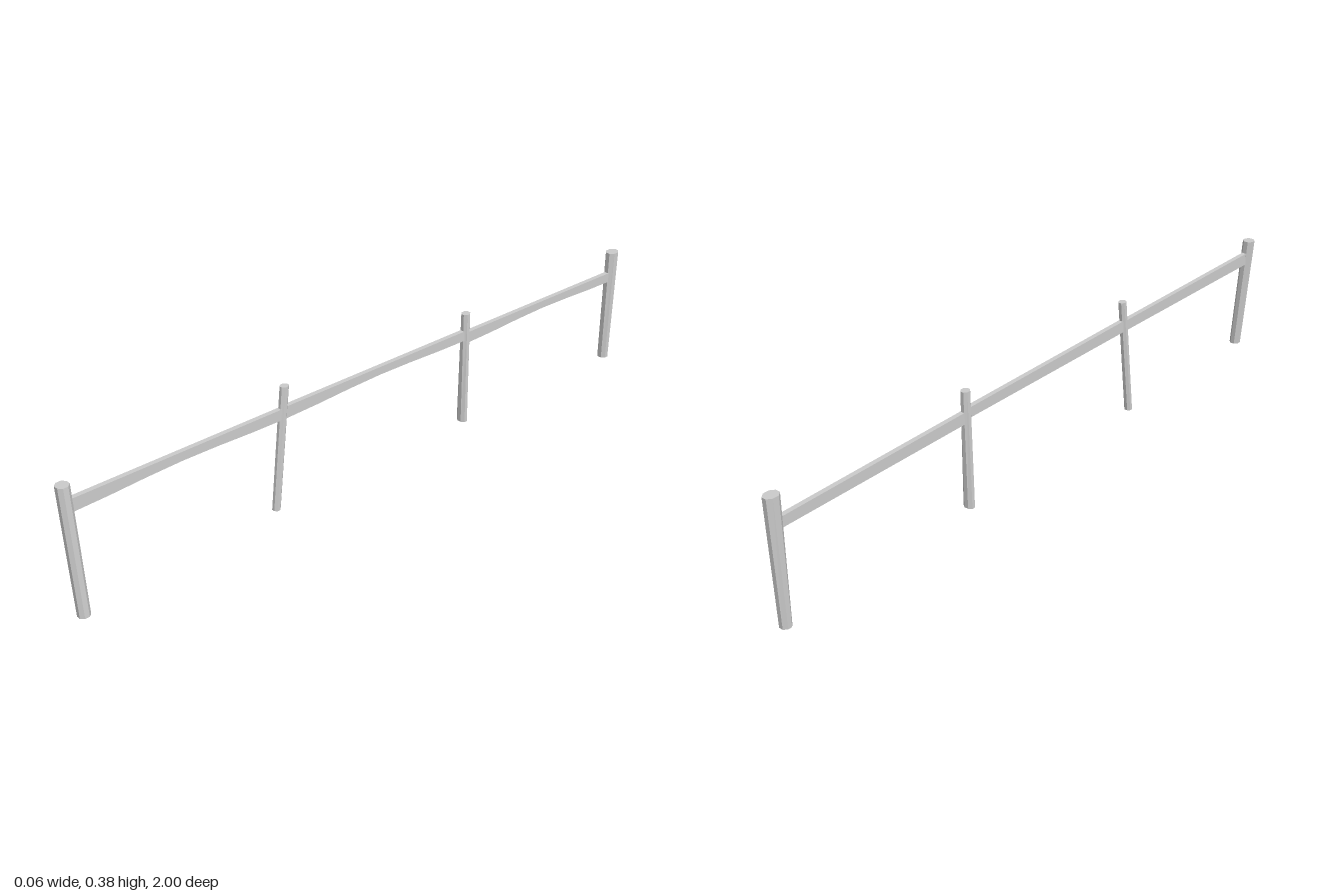
import * as THREE from 'three';

const material = new THREE.MeshStandardMaterial({ color: 0xcccccc, flatShading: true });

// Eight-sided post between two end sections: [x, y, z, half width x, half width z]
function makePost(name, bottom, top) {
  const geo = new THREE.CylinderGeometry(1, 1, 1, 8, 1, false, Math.PI / 8);
  const p = geo.attributes.position;
  const k = 1 / Math.cos(Math.PI / 8);
  for (let i = 0; i < p.count; i++) {
    const [x, y, z, rx, rz] = p.getY(i) > 0 ? top : bottom;
    p.setXYZ(i, x + p.getX(i) * rx * k, y, z + p.getZ(i) * rz * k);
  }
  geo.computeVertexNormals();
  const mesh = new THREE.Mesh(geo, material);
  mesh.name = name;
  return mesh;
}

// Plank between two posts; its lower edge on the +x side is worn away mid-span.
// Each end is [z, lower y, upper y].
function makeRail(name, front, back) {
  const geo = new THREE.BoxGeometry(1, 1, 1, 1, 1, 6);
  const p = geo.attributes.position;
  for (let i = 0; i < p.count; i++) {
    const t = 0.5 - p.getZ(i);
    const [z, low, high] = front.map((v, j) => v + (back[j] - v) * t);
    const upper = p.getY(i) > 0;
    const outer = p.getX(i) > 0;
    const wear = !upper && outer ? 0.009 * Math.sin(Math.PI * t) ** 2 : 0;
    p.setXYZ(i, -0.009 + (outer ? 0.007 : -0.007), (upper ? high : low) + wear, z);
  }
  geo.computeVertexNormals();
  const mesh = new THREE.Mesh(geo, material);
  mesh.name = name;
  return mesh;
}

export function createModel() {
  const group = new THREE.Group();
  group.name = 'fence';

  // Posts: thick at the ends, slim and leaning between
  group.add(
    makePost('frontPost', [0.013, 0.003, 0.983, 0.0155, 0.016], [-0.013, 0.367, 0.983, 0.017, 0.017]),
    makePost('frontMiddlePost', [-0.011, 0.02, 0.367, 0.011, 0.011], [-0.009, 0.384, 0.326, 0.011, 0.012]),
    makePost('backMiddlePost', [-0.01, 0.02, -0.334, 0.016, 0.012], [-0.01, 0.37, -0.336, 0.012, 0.013]),
    makePost('backPost', [-0.012, 0.004, -0.978, 0.0155, 0.015], [-0.01, 0.369, -0.979, 0.017, 0.021])
  );

  // Rail in three planks
  group.add(
    makeRail('frontRail', [0.975, 0.29, 0.327], [0.335, 0.29, 0.322]),
    makeRail('middleRail', [0.335, 0.29, 0.325], [-0.335, 0.288, 0.318]),
    makeRail('backRail', [-0.335, 0.277, 0.311], [-0.97, 0.273, 0.303])
  );
  return group;
}
